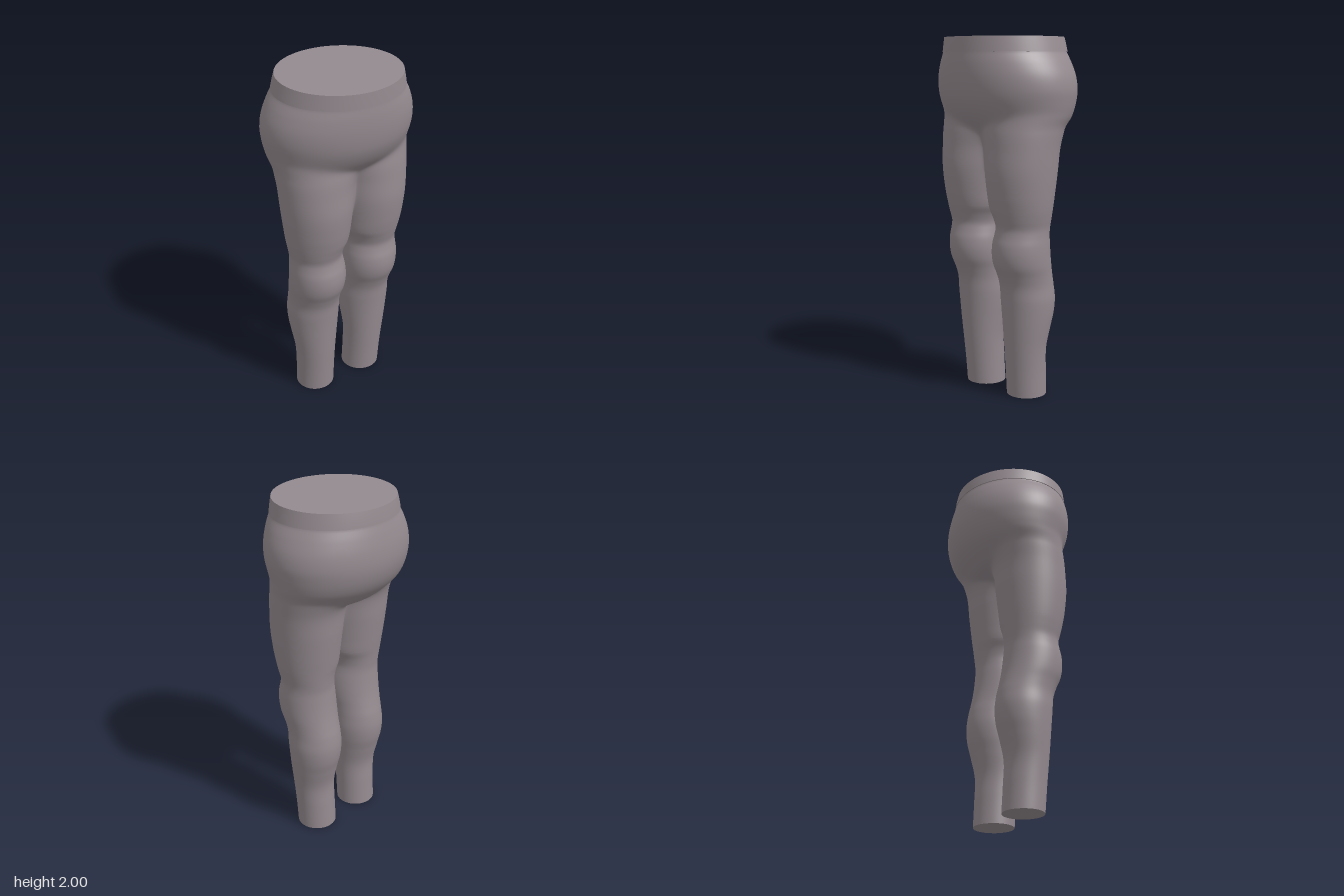
import * as THREE from 'three';

const fabric = new THREE.MeshStandardMaterial({ color: 0x948a8f });
fabric.name = 'mauve grey fabric';

// Leg sections: y, inner x, outer x, back z, front z
const LEG = [
  [0, 0.055, 0.28, -0.11, 0.115], [0.15, 0.056, 0.284, -0.103, 0.127],
  [0.28, 0.053, 0.293, -0.099, 0.138], [0.4, 0.041, 0.31, -0.125, 0.147],
  [0.48, 0.032, 0.32, -0.146, 0.153], [0.56, 0.027, 0.325, -0.153, 0.16],
  [0.64, 0.029, 0.321, -0.144, 0.169], [0.7, 0.027, 0.325, -0.13, 0.188],
  [0.76, 0.02, 0.333, -0.117, 0.214], [0.82, 0.018, 0.336, -0.108, 0.225],
  [0.88, 0.022, 0.335, -0.102, 0.222], [0.93, 0.03, 0.331, -0.099, 0.209],
  [0.97, 0.034, 0.331, -0.102, 0.203], [1.02, 0.022, 0.341, -0.108, 0.215],
  [1.07, -0.001, 0.351, -0.116, 0.229], [1.15, -0.01, 0.362, -0.127, 0.245],
  [1.28, -0.02, 0.376, -0.143, 0.259], [1.4, -0.03, 0.385, -0.155, 0.254],
  [1.5, -0.05, 0.39, -0.18, 0.245], [1.6, -0.05, 0.385, -0.2, 0.22],
  [1.75, -0.05, 0.3, -0.18, 0.18], [1.92, -0.05, 0.2, -0.1, 0.1],
];

// Hip sections: y, half width, back z, front z
const HIP = [
  [1.06, 0.004, 0.05, 0.058], [1.36, 0.004, 0.045, 0.055],
  [1.41, 0.07, -0.06, 0.09], [1.45, 0.2, -0.175, 0.13],
  [1.5, 0.3, -0.24, 0.195], [1.55, 0.37, -0.286, 0.25],
  [1.6, 0.4, -0.315, 0.288], [1.66, 0.418, -0.334, 0.317],
  [1.72, 0.426, -0.341, 0.332], [1.79, 0.417, -0.337, 0.34],
  [1.86, 0.389, -0.324, 0.341], [1.92, 0.354, -0.308, 0.337],
];

// Smooth interpolation of a section table at height y
function sample(table, y) {
  const last = table.length - 1;
  let i = 0;
  while (i < last - 1 && y > table[i + 1][0]) i++;
  const p = table[i], q = table[i + 1], h = q[0] - p[0];
  const t = Math.min(1, Math.max(0, (y - p[0]) / h));
  const slope = (k, c) => {
    const a = table[Math.max(0, k - 1)], b = table[Math.min(last, k + 1)];
    return (b[c] - a[c]) / (b[0] - a[0]);
  };
  return p.slice(1).map((v, n) => {
    const c = n + 1, t2 = t * t, t3 = t2 * t;
    return v * (2 * t3 - 3 * t2 + 1) + q[c] * (3 * t2 - 2 * t3)
      + h * (slope(i, c) * (t3 - 2 * t2 + t) + slope(i + 1, c) * (t3 - t2));
  });
}

// Skin a stack of rings, each a bottom-to-top list of [x, y, z] points
function loft(rings, capBottom, capTop) {
  const n = rings[0].length, pos = rings.flat(2), idx = [];
  for (let i = 0; i < rings.length - 1; i++) {
    for (let j = 0; j < n; j++) {
      const k = (j + 1) % n, a = i * n + j, c = i * n + k;
      idx.push(a, a + n, c, c, a + n, c + n);
    }
  }
  const cap = (ring, up) => {
    const base = pos.length / 3, mid = [0, 0, 0];
    for (const p of ring) {
      pos.push(...p);
      p.forEach((v, c) => { mid[c] += v / n; });
    }
    pos.push(...mid);
    for (let j = 0; j < n; j++) {
      const a = base + j, b = base + (j + 1) % n;
      idx.push(base + n, up ? b : a, up ? a : b);
    }
  };
  if (capBottom) cap(rings[0], false);
  if (capTop) cap(rings[rings.length - 1], true);
  const g = new THREE.BufferGeometry();
  g.setAttribute('position', new THREE.Float32BufferAttribute(pos, 3));
  g.setIndex(idx);
  g.computeVertexNormals();
  return g;
}

const ellipse = (y, cx, cz, a, b, n) => Array.from({ length: n }, (_, j) => {
  const t = j / n * Math.PI * 2;
  return [cx + a * Math.cos(t), y, cz + b * Math.sin(t)];
});

const heights = (from, to, n) =>
  Array.from({ length: n + 1 }, (_, i) => from + (to - from) * i / n);

// Far crossing of a ray (dx, dz) from the origin with an ellipse
function reach(dx, dz, cx, cz, a, b) {
  const A = (dx / a) ** 2 + (dz / b) ** 2;
  const B = dx * cx / a ** 2 + dz * cz / b ** 2;
  const C = (cx / a) ** 2 + (cz / b) ** 2 - 1;
  const D = B * B - A * C;
  return D < 0 ? 0 : Math.max(0, (B + Math.sqrt(D)) / A);
}

// Outline of both thighs blended with the hips at height y
function bodyRing(y, n) {
  const [inner, outer, back, front] = sample(LEG, y);
  const [w, hb, hf] = sample(HIP, y);
  const cz = (back + front) / 2;
  const soft = 0.012 * THREE.MathUtils.smoothstep(y, 1.08, 1.4);
  const blend = 0.035 * THREE.MathUtils.smoothstep(y, 1.3, 1.5);
  return Array.from({ length: n }, (_, j) => {
    const t = j / n * Math.PI * 2, ang = t + 0.3 * Math.sin(2 * t);
    const c = Math.cos(ang), s = Math.sin(ang);
    const thigh = reach(Math.sqrt(c * c + soft), s, (inner + outer) / 2, 0,
      (outer - inner) / 2, (front - back) / 2);
    const hip = reach(c, s, 0, (hb + hf) / 2 - cz, w, (hf - hb) / 2);
    const r = (thigh + hip + Math.hypot(thigh - hip, blend)) / 2;
    return [r * c, y, cz + r * s];
  });
}

export function createModel() {
  const model = new THREE.Group();
  model.name = 'trousers';
  const add = (name, geometry) => {
    const mesh = new THREE.Mesh(geometry, fabric);
    mesh.name = name;
    model.add(mesh);
  };

  // Hips and thighs in one smooth skin
  add('hipsAndThighs', loft(heights(1.07, 1.925, 90).map(y => bodyRing(y, 144)), false, false));

  // Lower legs with knees and calves
  for (const [name, side] of [['leftLeg', 1], ['rightLeg', -1]]) {
    add(name, loft(heights(0, 1.075, 90).map(y => {
      const [inner, outer, back, front] = sample(LEG, y);
      return ellipse(y, side * (inner + outer) / 2, (back + front) / 2,
        (outer - inner) / 2, (front - back) / 2, 64);
    }), true, false));
  }

  // Waistband with a slight overhang and a flat top
  add('waistband', loft([
    ellipse(1.92, 0, 0.013, 0.362, 0.327, 96),
    ellipse(1.96, 0, 0.015, 0.352, 0.324, 96),
    ellipse(2, 0, 0.018, 0.341, 0.319, 96),
  ], true, true));

  return model;
}
